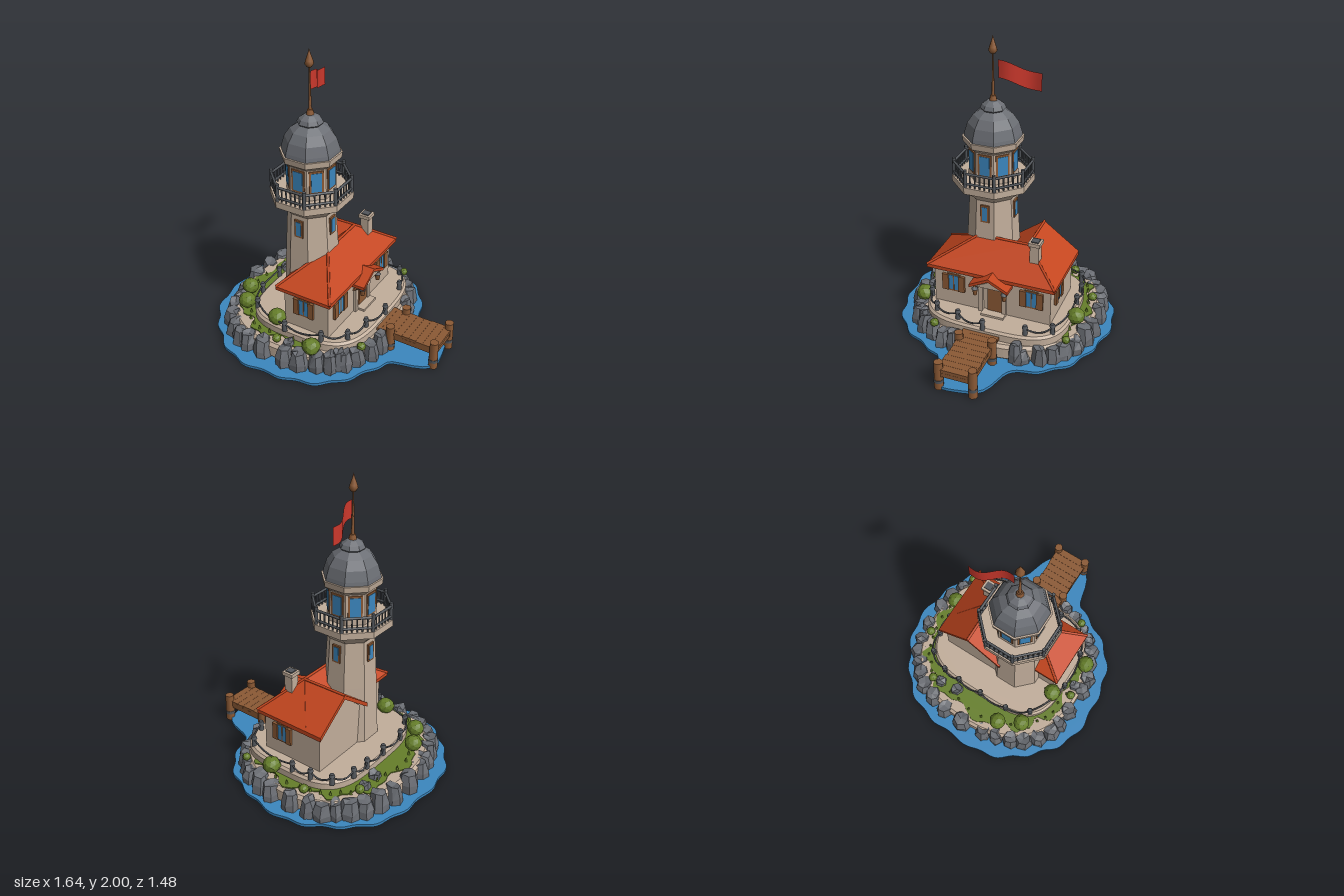
import * as THREE from 'three';
import { mergeGeometries, mergeVertices } from 'three/addons/utils/BufferGeometryUtils.js';

const mat = (name, color, extra = {}) => Object.assign(new THREE.MeshStandardMaterial({ color, ...extra }), { name });
const M = {
  stone: mat('pale stone', 0xc2ae9b), rock: mat('grey rock', 0x6b6e74), iron: mat('dark iron', 0x53575c),
  roof: mat('orange tile', 0xc4461f), wood: mat('brown wood', 0x8c5a35), leaf: mat('leaf green', 0x667f2a),
  water: mat('water blue', 0x3b87bf), flag: mat('flag red', 0xcc382c, { side: THREE.DoubleSide }),
};
let seed = 7;
const rnd = () => ((seed = (seed * 16807) % 2147483647) / 2147483647);
const jit = (s) => (rnd() - 0.5) * 2 * s;
const V = (x, y, z) => new THREE.Vector3(x, y, z);
const flat = (g) => { const n = g.index ? g.toNonIndexed() : g; n.computeVertexNormals(); return n; };

function add(parent, name, geo, material, x = 0, y = 0, z = 0) {
  const m = new THREE.Mesh(geo, material);
  m.name = name;
  m.position.set(x, y, z);
  parent.add(m);
  return m;
}
const box = (p, name, m, w, h, d, x, y, z) => add(p, name, new THREE.BoxGeometry(w, h, d), m, x, y, z);

// Closed outline in x/z: a superellipse with an optional radius rule
function outline(cx, cz, a, b, n, rule = () => 1, steps = 96) {
  const pow = (v) => Math.sign(v) * Math.abs(v) ** (2 / n);
  return Array.from({ length: steps }, (_, i) => {
    const t = (i / steps) * Math.PI * 2, k = rule(t);
    return [cx + a * k * pow(Math.cos(t)), cz + b * k * pow(Math.sin(t))];
  });
}
function slab(pts, y0, h, bevel = 0) {
  const s = new THREE.Shape(pts.map(([x, z]) => new THREE.Vector2(x, -z)));
  const g = new THREE.ExtrudeGeometry(s, { depth: h - 2 * bevel, bevelEnabled: bevel > 0, bevelSize: bevel, bevelThickness: bevel, bevelOffset: -bevel, bevelSegments: 1 });
  return g.rotateX(-Math.PI / 2).translate(0, y0 + bevel, 0);
}
// Cylinder between two points
function beam(a, b, r, sides = 6, r2 = r) {
  const d = b.clone().sub(a), g = new THREE.CylinderGeometry(r2, r, d.length(), sides);
  g.applyQuaternion(new THREE.Quaternion().setFromUnitVectors(V(0, 1, 0), d.clone().normalize()));
  return g.translate(...a.clone().add(b).multiplyScalar(0.5).toArray());
}
// Eight-sided turned form with flats on the axes; radii are apothems
const octagon = (prof) => flat(new THREE.LatheGeometry(prof.map(([r, y]) => new THREE.Vector2(r / Math.cos(Math.PI / 8), y)), 8, Math.PI / 8));
// Flat polygons (fanned) into one surface
function faces(list) {
  const p = [];
  for (const f of list) for (let i = 1; i < f.length - 1; i++) p.push(...f[0], ...f[i], ...f[i + 1]);
  const g = new THREE.BufferGeometry();
  g.setAttribute('position', new THREE.Float32BufferAttribute(p, 3));
  g.computeVertexNormals();
  return g;
}
// Profile in (z, y) extruded along +x
function alongX(pts, len) {
  const s = new THREE.Shape(pts.map((p) => new THREE.Vector2(...p)));
  return new THREE.ExtrudeGeometry(s, { depth: len, bevelEnabled: false }).rotateY(Math.PI / 2);
}
const chevron = (w, rise, t) => [[-w, 0], [-w, -t], [0, rise - t], [w, -t], [w, 0], [0, rise]];

function lump(r, squash, amount) {
  let g = new THREE.IcosahedronGeometry(r, 1);
  g.deleteAttribute('normal'); g.deleteAttribute('uv');
  g = mergeVertices(g);
  const p = g.attributes.position;
  for (let i = 0; i < p.count; i++) {
    const k = 1 + jit(amount);
    p.setXYZ(i, p.getX(i) * k, p.getY(i) * k * squash, p.getZ(i) * k);
  }
  return flat(g);
}
function boulder(w, d, h) {
  let g = new THREE.CylinderGeometry(0.68, 1, 1, 7, 2);
  g.deleteAttribute('normal'); g.deleteAttribute('uv');
  g = mergeVertices(g, 1e-3);
  const p = g.attributes.position;
  for (let i = 0; i < p.count; i++) {
    const y = p.getY(i) + 0.5, k = Math.abs(y - 0.5) < 0.1 ? 1.14 : 1;
    p.setXYZ(i, (p.getX(i) * k + jit(0.1)) * w, (y + (y > 0.2 ? jit(0.1) : 0)) * h, (p.getZ(i) * k + jit(0.1)) * d);
  }
  return flat(g);
}
// Framed pane facing +z, optional shutters
function windowUnit(parent, name, x, y, z, turn, w, h, shutter = 0) {
  const g = new THREE.Group();
  g.name = name; g.position.set(x, y, z); g.rotation.y = turn;
  box(g, 'windowFrame', M.wood, w + 0.025, h + 0.025, 0.012, 0, 0, 0);
  box(g, 'pane', M.water, w, h, 0.006, 0, 0, 0.006);
  if (shutter) {
    box(g, 'mullion', M.wood, 0.008, h, 0.004, 0, 0, 0.01);
    for (const s of [-1, 1]) box(g, 'shutter', M.wood, shutter, h + 0.01, 0.018, s * (w / 2 + shutter / 2), 0, 0.008);
  }
  parent.add(g);
}

function island(g) {
  const swell = (t) => { const a = t > Math.PI ? t - 2 * Math.PI : t; return 1 + 0.014 * Math.sin(t * 19) + 0.012 * Math.sin(t * 7 + 1) + 0.35 * Math.exp(-((a / 0.23) ** 4)); };
  add(g, 'water', slab(outline(-0.13, 0, 0.685, 0.73, 2.15, swell, 160), 0, 0.02), M.water);
  add(g, 'ground', slab(outline(-0.13, -0.02, 0.56, 0.61, 2.4), 0.01, 0.115, 0.02), M.stone);
  const patch = (t) => 0.95 + 0.05 * Math.sin(t * 11) + 0.03 * Math.sin(t * 23) - 0.16 * Math.exp(-((Math.atan2(Math.sin(t), Math.cos(t)) / 0.4) ** 4));
  add(g, 'grass', slab(outline(-0.13, -0.02, 0.52, 0.575, 2.4, patch), 0.12, 0.012), M.leaf);
  add(g, 'terrace', slab(outline(-0.05, -0.02, 0.43, 0.5, 3.6), 0.11, 0.08, 0.015), M.stone);
  // Shore boulders, leaving a gap at the pier
  const ring = outline(-0.13, -0.02, 0.55, 0.61, 2.5, undefined, 34);
  ring.forEach(([x, z]) => {
    if (x > 0.2 && z > -0.2 && z < 0.15) return;
    const r = add(g, 'shoreRock', boulder(0.062 + jit(0.01), 0.068 + jit(0.008), 0.135 + jit(0.018)), M.rock, x + jit(0.012), 0, z + jit(0.012));
    r.rotation.y = Math.atan2(x + 0.13, z + 0.02);
  });
  for (const [x, z, s] of [[-0.54, -0.3, 0.055], [-0.53, -0.17, 0.055], [0.4, -0.25, 0.05], [0.43, 0.17, 0.055], [0.28, 0.45, 0.05], [-0.05, 0.53, 0.05]])
    add(g, 'innerRock', boulder(s, s, 0.15), M.rock, x, 0.01, z);
  // Bushes and tufts
  for (const [x, z, r, y] of [[0.02, -0.54, 0.06, 0.19], [-0.27, -0.57, 0.032, 0.16], [0.24, -0.54, 0.028, 0.15], [-0.55, -0.36, 0.032, 0.16], [-0.575, 0.21, 0.058, 0.195],
    [-0.495, 0.36, 0.058, 0.2], [-0.2, 0.43, 0.06, 0.225], [0.12, 0.52, 0.06, 0.175], [-0.13, 0.545, 0.03, 0.155], [0.38, 0.33, 0.03, 0.15]])
    add(g, 'bush', lump(r, 0.92, 0.05), M.leaf, x, y, z);
  const tufts = outline(-0.13, -0.02, 0.48, 0.54, 2.4, () => 0.98 + jit(0.04), 44).filter(([x, z]) => x < 0.25 || Math.abs(z) > 0.25);
  add(g, 'grassTufts', mergeGeometries(tufts.map(([x, z]) => new THREE.ConeGeometry(0.012, 0.04, 4).translate(x, 0.148, z))), M.leaf);
  // Bollards joined by sagging chain
  const posts = [[0.37, -0.01], [0.33, 0.18], [0.29, 0.35], [0.15, 0.45], [-0.11, 0.48], [-0.4, 0.37], [-0.47, 0.21], [-0.475, 0], [-0.475, -0.18],
    [-0.465, -0.31], [-0.4, -0.45], [-0.26, -0.49], [-0.12, -0.5], [0.25, -0.45], [0.33, -0.29]];
  posts.forEach(([x, z], i) => {
    add(g, 'bollard', new THREE.CylinderGeometry(0.014, 0.018, 0.07, 7), M.iron, x, 0.215, z);
    add(g, 'bollardCap', new THREE.CylinderGeometry(0.014, 0.021, 0.02, 7), M.iron, x, 0.25, z);
    if (i === posts.length - 1) return;
    const [u, w] = posts[i + 1];
    const c = new THREE.QuadraticBezierCurve3(V(x, 0.235, z), V((x + u) / 2 + ((x + u) / 2 + 0.05) * 0.1, 0.19, (z + w) / 2 * 1.08), V(u, 0.235, w));
    add(g, 'chain', new THREE.TubeGeometry(c, 10, 0.006, 5), M.iron);
  });
}

function pier(g) {
  for (let i = 0; i < 9; i++) box(g, 'plank', M.wood, 0.049, 0.022, 0.245 + jit(0.008), 0.385 + i * 0.05, 0.146, -0.005);
  for (const z of [-0.11, 0.1]) {
    box(g, 'pierBeam', M.wood, 0.45, 0.035, 0.03, 0.585, 0.12, z);
    for (const x of [0.475, 0.79]) {
      add(g, 'pile', new THREE.CylinderGeometry(0.03, 0.032, 0.2, 8), M.wood, x, 0.1, z * 1.1);
      add(g, 'pileBand', new THREE.CylinderGeometry(0.034, 0.034, 0.022, 8), M.iron, x, 0.06, z * 1.1);
    }
  }
  for (const x of [0.475, 0.79]) box(g, 'crossBeam', M.wood, 0.03, 0.03, 0.22, x, 0.115, -0.005);
}

function house(g) {
  box(g, 'mainWalls', M.stone, 0.33, 0.31, 0.82, 0.015, 0.325, 0);
  const wing = alongX([[-0.215, 0], [0.215, 0], [0.215, 0.29], [0, 0.47], [-0.215, 0.29]], 0.28);
  add(g, 'wingWalls', wing, M.stone, -0.27, 0.18, -0.195);
  // Hipped main roof with a thin eave
  const [x0, x1, z0, z1, y, e] = [-0.19, 0.215, -0.445, 0.45, 0.485, 0.46];
  const c = [[x0, y, z1], [x1, y, z1], [x1, y, z0], [x0, y, z0]], b = c.map(([x, , z]) => [x, e, z]);
  const P = [0.02, 0.67, 0.15], Q = [0.02, 0.67, -0.2];
  const rim = c.map((p, i) => [b[i], b[(i + 1) % 4], c[(i + 1) % 4], p]);
  add(g, 'mainRoof', faces([[c[0], c[1], P], [c[1], c[2], Q, P], [c[2], c[3], Q], [c[3], c[0], P, Q], ...rim, [...b].reverse()]), M.roof);
  add(g, 'wingRoof', alongX(chevron(0.25, 0.185, 0.03), 0.32), M.roof, -0.305, y, -0.195);
  const ridges = [[P, Q], [P, c[0]], [P, c[1]], [Q, c[2]], [Q, [-0.305, 0.67, -0.195]]];
  add(g, 'ridgeTiles', mergeGeometries(ridges.map(([p, q]) => beam(V(...p), V(...q), 0.009))), M.roof);
  // Chimney
  box(g, 'chimney', M.stone, 0.06, 0.2, 0.06, 0.075, 0.62, -0.265);
  box(g, 'chimneyCap', M.stone, 0.08, 0.025, 0.08, 0.075, 0.728, -0.265);
  box(g, 'flue', M.iron, 0.05, 0.02, 0.05, 0.075, 0.738, -0.265);
  // Windows
  for (const z of [0.27, -0.28]) windowUnit(g, 'sideWindow', 0.18, 0.36, z, Math.PI / 2, 0.07, 0.11, 0.045);
  windowUnit(g, 'frontWindow', 0, 0.36, 0.41, 0, 0.07, 0.11, 0.04);
  windowUnit(g, 'backWindow', 0.03, 0.36, -0.411, Math.PI, 0.07, 0.11, 0.04);
  // Door and porch
  box(g, 'door', M.wood, 0.02, 0.21, 0.1, 0.18, 0.295, -0.025);
  box(g, 'doorStep', M.stone, 0.07, 0.02, 0.16, 0.21, 0.195, -0.025);
  add(g, 'porchRoof', alongX(chevron(0.135, 0.07, 0.022), 0.1), M.roof, 0.178, 0.44, -0.012);
  add(g, 'porchGable', alongX([[-0.1, 0], [0.1, 0], [0, 0.05]], 0.08), M.stone, 0.18, 0.425, -0.012);
  for (const z of [-0.115, 0.09]) {
    box(g, 'doorPillar', M.stone, 0.03, 0.24, 0.03, 0.185, 0.31, z * 0.8);
    add(g, 'porchBrace', beam(V(0.18, 0.37, z), V(0.26, 0.425, z), 0.008), M.wood);
    add(g, 'porchLantern', new THREE.CylinderGeometry(0.02, 0.013, 0.045, 6), M.wood, 0.25, 0.375, z);
    add(g, 'lanternCap', new THREE.ConeGeometry(0.024, 0.025, 6), M.iron, 0.25, 0.41, z);
  }
}

function tower(g) {
  const t = new THREE.Group();
  t.name = 'tower'; t.position.set(-0.125, 0, 0.105);
  add(t, 'shaft', octagon([[0, 0.17], [0.182, 0.17], [0.178, 0.24], [0.163, 0.6], [0.146, 0.93], [0.165, 0.955], [0.232, 1.01], [0.25, 1.015], [0.25, 1.06], [0, 1.06]]), M.stone);
  add(t, 'lanternRoom', octagon([[0.15, 1.05], [0.145, 1.27], [0.18, 1.3], [0.185, 1.34], [0, 1.345]]), M.stone);
  add(t, 'dome', octagon([[0.175, 1.335], [0.17, 1.365], [0.152, 1.43], [0.118, 1.485], [0.07, 1.52], [0.078, 1.53], [0.066, 1.555], [0.035, 1.578], [0, 1.585]]), M.rock);
  const R = 0.237 / Math.cos(Math.PI / 8), corner = (i, y) => V(R * Math.sin((i + 0.5) * Math.PI / 4), y, R * Math.cos((i + 0.5) * Math.PI / 4));
  const rails = [];
  for (let i = 0; i < 8; i++) {
    const a = i * Math.PI / 4, s = Math.sin(a), k = Math.cos(a);
    windowUnit(t, 'lanternWindow', s * 0.147, 1.185, k * 0.147, a, 0.068, 0.13);
    if (i % 2 === 0) windowUnit(t, 'towerWindow', s * 0.154, 0.84, k * 0.154, a, 0.036, 0.1);
    rails.push(beam(corner(i, 1.05), corner(i, 1.18), 0.012));
    for (const y of [1.085, 1.155]) rails.push(beam(corner(i, y), corner(i + 1, y), 0.009));
    for (let j = 1; j < 6; j++) rails.push(beam(corner(i, 1.06).lerp(corner(i + 1, 1.06), j / 6), corner(i, 1.155).lerp(corner(i + 1, 1.155), j / 6), 0.006, 4));
  }
  add(t, 'balconyRailing', mergeGeometries(rails), M.iron);
  // Flagpole, finial and waving flag
  add(t, 'poleBase', new THREE.CylinderGeometry(0.018, 0.026, 0.035, 8), M.wood, 0, 1.595, 0);
  add(t, 'flagpole', beam(V(0, 1.6, 0), V(0, 1.89, 0), 0.011, 6, 0.004), M.wood);
  add(t, 'finial', new THREE.LatheGeometry([[0, 1.88], [0.016, 1.885], [0.029, 1.905], [0.024, 1.925], [0.01, 1.965], [0, 2]].map((p) => new THREE.Vector2(...p)), 8), M.wood);
  const f = new THREE.PlaneGeometry(1, 1, 10, 3), p = f.attributes.position;
  for (let i = 0; i < p.count; i++) {
    const u = p.getX(i) + 0.5, v = p.getY(i);
    p.setXYZ(i, -0.012 - 0.065 * u + 0.016 * Math.sin(u * 6.5), 1.785 - 0.085 * u + 0.012 * Math.sin(u * 7) + v * 0.118, -0.03 - 0.265 * u);
  }
  f.computeVertexNormals();
  add(t, 'flag', f, M.flag);
  g.add(t);
}

export function createModel() {
  const root = new THREE.Group();
  root.name = 'islandLighthouse';
  for (const [name, build] of Object.entries({ island, pier, house, tower })) {
    const g = new THREE.Group();
    g.name = name;
    build(g);
    root.add(g);
  }
  return root;
}
